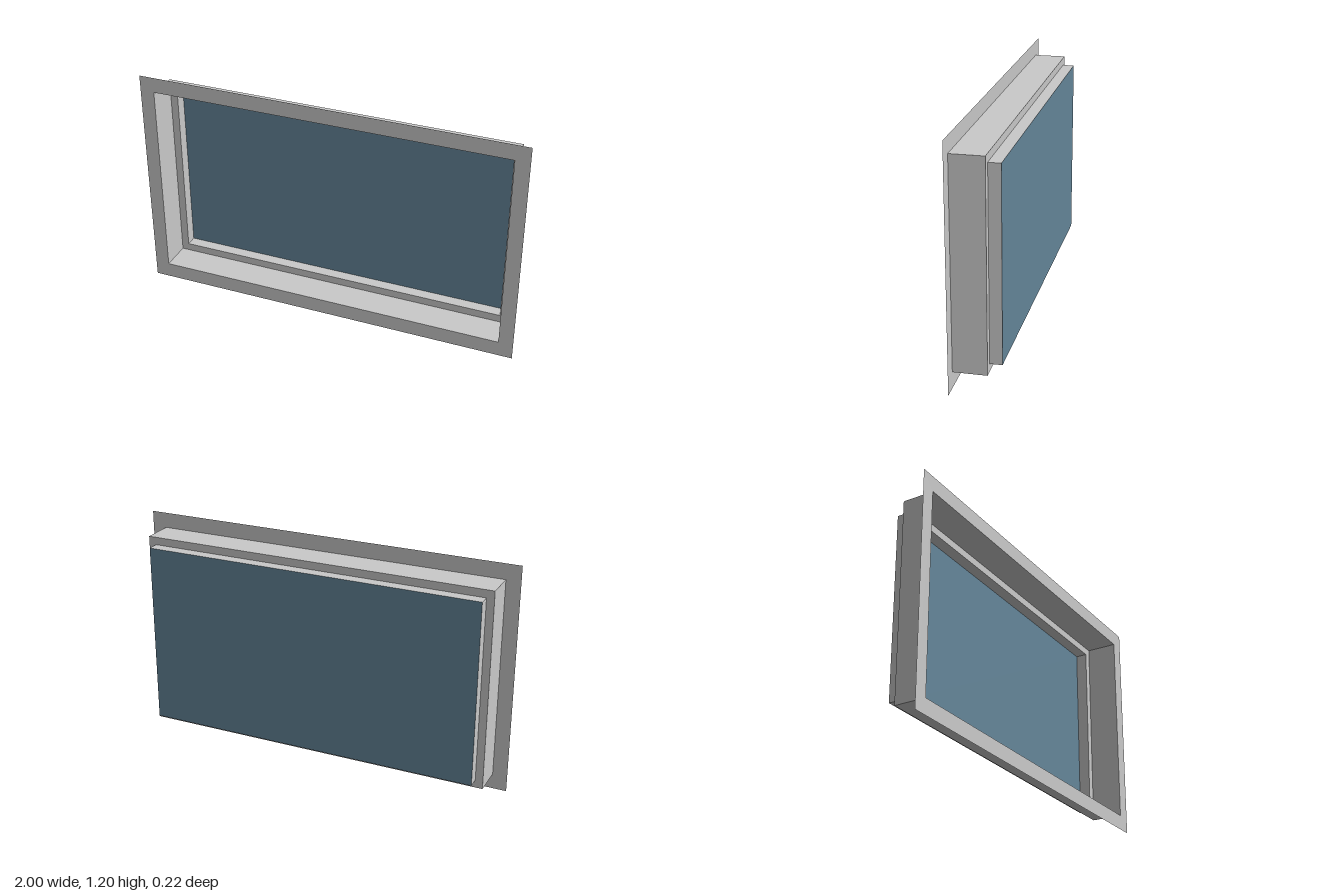
import * as THREE from 'three';

const CENTRE_Y = 0.598;
// Half sizes of the three nested rectangles, and the depths of the steps
const OUTER = [1, 0.598], REVEAL = [0.925, 0.518], PANE = [0.886, 0.478];
const FRONT = 0.112, STEP = -0.052, BACK = -0.112;

const frameMat = new THREE.MeshStandardMaterial({ color: 0xc9c9c9, side: THREE.DoubleSide });
frameMat.name = 'frameGrey';
const glassMat = new THREE.MeshStandardMaterial({ color: 0x648599, side: THREE.DoubleSide });
glassMat.name = 'glassBlue';

const corners = ([w, h]) => [[-w, -h], [w, -h], [w, h], [-w, h]].map(([x, y]) => new THREE.Vector2(x, y));

function addMesh(parent, name, geometry, material, z) {
  const mesh = new THREE.Mesh(geometry, material);
  mesh.name = name;
  mesh.position.z = z;
  parent.add(mesh);
  return mesh;
}

// Flat rectangular ring facing the front
function ring(parent, name, outer, inner, z) {
  const shape = new THREE.Shape(corners(outer));
  shape.holes.push(new THREE.Path(corners(inner).reverse()));
  addMesh(parent, name, new THREE.ShapeGeometry(shape), frameMat, z);
}

// Four thin walls running from z0 to z1 around a rectangle, facing outwards
function sleeve(parent, name, [w, h], z0, z1) {
  const group = new THREE.Group();
  group.name = name;
  const depth = Math.abs(z1 - z0), z = (z0 + z1) / 2;
  for (const s of [-1, 1]) {
    const side = new THREE.PlaneGeometry(depth, 2 * h).rotateY(s * Math.PI / 2);
    addMesh(group, s > 0 ? 'leftWall' : 'rightWall', side, frameMat, z).position.x = s * w;
    const level = new THREE.PlaneGeometry(2 * w, depth).rotateX(-s * Math.PI / 2);
    addMesh(group, s > 0 ? 'topWall' : 'bottomWall', level, frameMat, z).position.y = s * h;
  }
  parent.add(group);
}

export function createModel() {
  const model = new THREE.Group();
  model.name = 'window';
  const body = new THREE.Group();
  body.name = 'windowBody';
  body.position.y = CENTRE_Y;
  model.add(body);

  // Front trim and the deep reveal behind it
  ring(body, 'frontTrim', OUTER, REVEAL, FRONT);
  sleeve(body, 'reveal', REVEAL, FRONT, STEP);

  // Narrow step and the shallow sash
  ring(body, 'stepLip', REVEAL, PANE, STEP);
  sleeve(body, 'sash', PANE, STEP, BACK);

  // Pane closing the back
  addMesh(body, 'glassPane', new THREE.PlaneGeometry(2 * PANE[0], 2 * PANE[1]), glassMat, BACK);
  return model;
}
